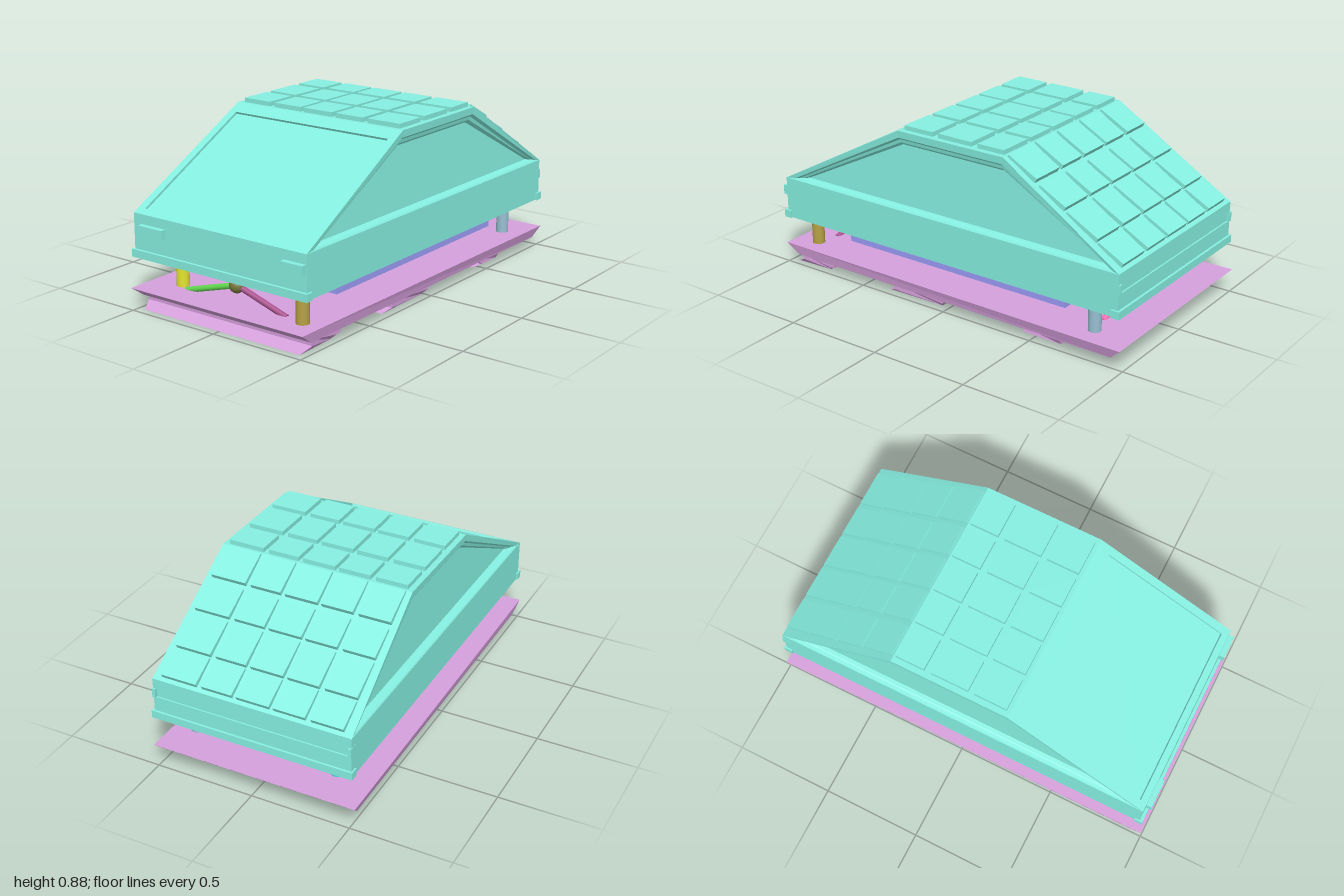
import * as THREE from 'three';

const mat = (color) => new THREE.MeshStandardMaterial({ color, flatShading: true });
const smooth = (color) => new THREE.MeshStandardMaterial({ color });
const TEAL = mat(0x85efe0), PINK = mat(0xd6a0dc), BLUE = mat(0x9c9cf8);
const ZC = 0.008; // the shell sits slightly forward

function add(parent, name, geometry, material) {
  const m = new THREE.Mesh(geometry, material);
  m.name = name;
  parent.add(m);
  return m;
}

// Box given by its min and max on each axis
function box(parent, name, [x0, x1], [y0, y1], [z0, z1], material = TEAL) {
  const m = add(parent, name, new THREE.BoxGeometry(x1 - x0, y1 - y0, z1 - z0), material);
  m.position.set((x0 + x1) / 2, (y0 + y1) / 2, (z0 + z1) / 2);
  return m;
}

// Round rod between two points
function rod(parent, name, a, b, r, color) {
  const A = new THREE.Vector3(...a), B = new THREE.Vector3(...b);
  const m = add(parent, name, new THREE.CylinderGeometry(r, r, A.distanceTo(B), 24), smooth(color));
  m.position.copy(A).lerp(B, 0.5);
  m.quaternion.setFromUnitVectors(new THREE.Vector3(0, 1, 0), B.sub(A).normalize());
  return m;
}

// Skin through equal-length closed loops, capped at both ends.
// Loops run clockwise when looking back along the direction of the loft.
function loft(loops) {
  const pos = [];
  const tri = (...pts) => pts.forEach((p) => pos.push(...p));
  const n = loops[0].length;
  for (let j = 0; j < loops.length - 1; j++) {
    for (let i = 0; i < n; i++) {
      const k = (i + 1) % n;
      const a = loops[j][i], b = loops[j + 1][i], c = loops[j + 1][k], d = loops[j][k];
      tri(a, b, c);
      tri(a, c, d);
    }
  }
  const cap = (loop, flip) => {
    const mid = [0, 1, 2].map((q) => loop.reduce((s, p) => s + p[q], 0) / n);
    loop.forEach((p, i) => {
      const next = loop[(i + 1) % n];
      flip ? tri(mid, next, p) : tri(mid, p, next);
    });
  };
  cap(loops[0], false);
  cap(loops[loops.length - 1], true);
  const g = new THREE.BufferGeometry();
  g.setAttribute('position', new THREE.Float32BufferAttribute(pos, 3));
  g.computeVertexNormals();
  return g;
}

// Roof hull: outer trapezoid stepping in to a recessed panel at both ends
function roofGeometry() {
  const outer = [[-0.97, 0.47], [-0.25, 0.863], [0.35, 0.863], [0.975, 0.47]];
  const inner = [[-0.85, 0.483], [-0.25, 0.785], [0.33, 0.785], [0.9, 0.483]];
  const mix = (a, b, t) => [a[0] + (b[0] - a[0]) * t, a[1] + (b[1] - a[1]) * t];
  const dentDir = [0.48, -0.88];
  const loop = (t, h, side, dent) => {
    const [bl, tl, tr, br] = outer.map((p, i) => mix(p, inner[i], t));
    const low = mix(bl, tl, 0.045), high = mix(bl, tl, 0.915);
    const push = (p) => [p[0] + dentDir[0] * dent, p[1] + dentDir[1] * dent];
    return [bl, low, push(low), push(high), high, tl, tr, br]
      .map(([x, y]) => [x, y, ZC + side * (h - (y - 0.47) * 0.04)]);
  };
  // inset, half depth, dent of the plain slope
  const steps = [
    [1, 0.465, 0], [0.82, 0.483, 0], [0.6, 0.488, 0], [0.45, 0.503, 0],
    [0, 0.507, 0], [0, 0.466, 0], [0, 0.466, 0.012],
  ];
  const back = steps.map(([t, h, d]) => loop(t, h, -1, d));
  const front = steps.map(([t, h, d]) => loop(t, h, 1, d)).reverse();
  return loft([...back, ...front]);
}

function createShell() {
  const shell = new THREE.Group();
  shell.name = 'shell';
  add(shell, 'roof', roofGeometry(), TEAL);

  // Stacked lower wall with a groove on the right end and a lip below each end
  const depth = [ZC - 0.507, ZC + 0.507];
  box(shell, 'lowerWall', [-0.97, 0.976], [0.26, 0.372], depth);
  box(shell, 'middleWall', [-0.97, 0.968], [0.372, 0.416], depth);
  box(shell, 'upperWall', [-0.97, 0.976], [0.416, 0.47], depth);
  box(shell, 'endLip', [-0.985, -0.945], [0.259, 0.297], [ZC - 0.515, ZC + 0.517]);
  box(shell, 'endLip', [0.945, 0.988], [0.259, 0.297], [ZC - 0.515, ZC + 0.517]);

  // Clips and end tabs
  for (const s of [-1, 1]) {
    const z = ZC + s * 0.5;
    box(shell, 'cornerClip', [0.93, 0.985], [0.373, 0.42], [z - 0.008, z + 0.008]);
  }
  box(shell, 'endTab', [-0.997, -0.965], [0.375, 0.423], [-0.45, -0.305]);
  box(shell, 'endTab', [-0.997, -0.965], [0.375, 0.423], [0.39, 0.51]);

  // Raised tiles: three columns on the flat top, four tilted ones down the right slope
  const rows = [[-0.455, -0.295], [-0.267, -0.107], [-0.087, 0.08], [0.103, 0.26], [0.288, 0.47]];
  const topCols = [[-0.232, -0.067], [-0.035, 0.155], [0.19, 0.337]];
  const slopeCols = [[0.006, 0.18], [0.206, 0.362], [0.378, 0.562], [0.572, 0.718]];
  const slope = new THREE.Group();
  slope.name = 'slopeTiles';
  slope.position.set(0.35, 0.863, 0);
  slope.rotation.z = Math.atan2(-0.393, 0.625);
  shell.add(slope);
  for (const row of rows) {
    for (const col of topCols) box(shell, 'topTile', col, [0.855, 0.885], row);
    for (const col of slopeCols) box(slope, 'slopeTile', col, [-0.012, 0.018], row).rotation.z = 0.07;
  }
  return shell;
}

function createBase() {
  const base = new THREE.Group();
  base.name = 'base';
  // Tray flaring outwards to its rim, a little wider at the right end
  const ring = (y, x0, x1, z0, z1) => [[x0, y, -z0], [x1, y, -z1], [x1, y, z1], [x0, y, z0]];
  add(base, 'tray', loft([
    ring(0.055, -0.925, 0.94, 0.5, 0.507),
    ring(0.107, -0.998, 0.996, 0.51, 0.524),
  ]), PINK);

  // Lapped boards underneath
  const boards = [
    [[-0.905, 0.06], [-0.905, 0.03], [-0.96, 0], [-0.745, 0.006], [-0.73, 0.03], [-0.7, 0.035], [-0.69, 0.06]],
    [[-0.31, 0.06], [-0.31, 0.028], [-0.355, 0.006], [-0.03, 0.01], [-0.01, 0.035], [0, 0.06]],
    [[0.44, 0.06], [0.47, 0.03], [0.435, 0.016], [0.65, 0.012], [0.655, 0.06]],
  ];
  for (const pts of boards) {
    const shape = new THREE.Shape(pts.map((p) => new THREE.Vector2(...p)));
    const g = new THREE.ExtrudeGeometry(shape, { depth: 0.94, bevelEnabled: false });
    g.translate(0, 0, -0.47);
    // Narrow the boards below their upper step
    const p = g.attributes.position;
    for (let i = 0; i < p.count; i++) p.setZ(i, p.getZ(i) * (p.getY(i) > 0.025 ? 1.04 : 0.985));
    g.computeVertexNormals();
    add(base, 'lappedBoard', g, PINK);
  }
  return base;
}

// Ball joint with two splayed struts and a short upright
function createJoint(x, y, ballColor, frontColor, backColor, upColor) {
  const joint = new THREE.Group();
  joint.name = 'ballJoint';
  const c = [x, y, 0.012];
  const ball = add(joint, 'ball', new THREE.SphereGeometry(0.037, 24, 16), smooth(ballColor));
  ball.position.set(...c);
  rod(joint, 'frontStrut', c, [x, 0.1, 0.3], 0.014, frontColor);
  rod(joint, 'backStrut', c, [x, 0.1, -0.3], 0.014, backColor);
  rod(joint, 'upright', c, [x, 0.27, 0.012], 0.011, upColor);
  return joint;
}

export function createModel() {
  const model = new THREE.Group();
  model.name = 'model';
  model.add(createShell(), createBase());
  box(model, 'core', [-0.64, 0.64], [0.175, 0.27], [-0.43, 0.42], BLUE);

  // Four pillars between base and shell
  const pillars = [
    ['frontRightPillar', 0.795, 0.41, 0x98bfd2],
    ['backRightPillar', 0.795, -0.335, 0x50d8e8],
    ['frontLeftPillar', -0.87, 0.41, 0xb6a145],
    ['backLeftPillar', -0.822, -0.343, 0xe4e430],
  ];
  for (const [name, x, z, color] of pillars) rod(model, name, [x, 0.1, z], [x, 0.27, z], 0.031, color);

  model.add(createJoint(0.77, 0.187, 0x8b3c96, 0xfa6cb2, 0xaafabc, 0xc2f6aa));
  model.add(createJoint(-0.845, 0.19, 0x78783c, 0xa8508c, 0x64da52, 0x9ec47c));
  return model;
}
